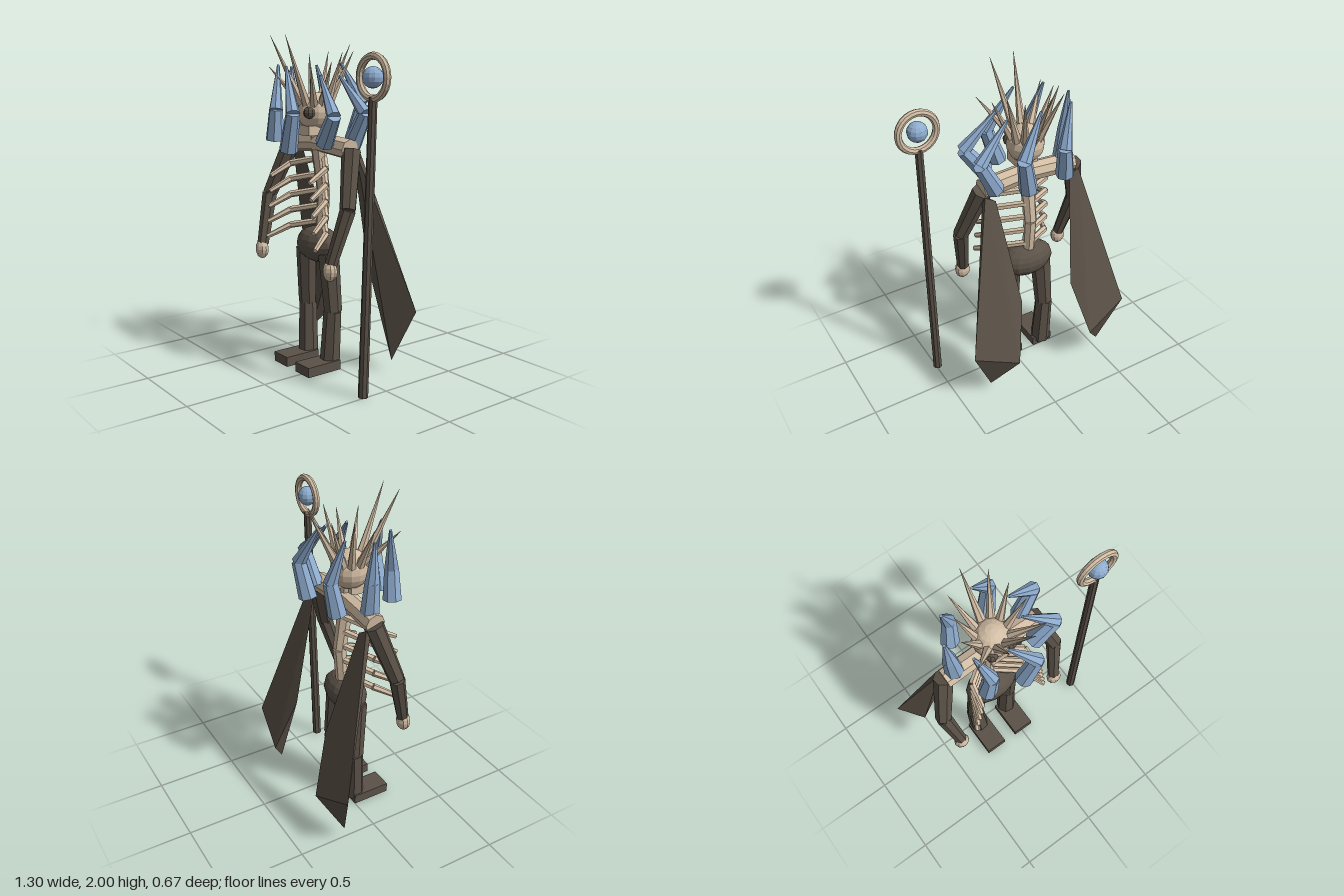
import * as THREE from 'three';
import { ConvexGeometry } from 'three/addons/geometries/ConvexGeometry.js';

const CX = -0.105; // mirror plane of the body
const V = (p) => new THREE.Vector3(...p);
const mat = (name, color) => {
  const m = new THREE.MeshStandardMaterial({ color, flatShading: true });
  m.name = name;
  return m;
};

export function createModel() {
  const bone = mat('bone', 0xd2bda4);
  const dark = mat('dark cloth', 0x5b5248);
  const blue = mat('pale blue crystal', 0x8fadd0);
  const model = new THREE.Group();
  model.name = 'skeletonMage';

  const add = (name, geo, material, parent = model) => {
    const mesh = new THREE.Mesh(geo, material);
    mesh.name = name;
    parent.add(mesh);
    return mesh;
  };
  const group = (name) => {
    const g = new THREE.Group();
    g.name = name;
    model.add(g);
    return g;
  };
  // tapered faceted bar between two points
  const bar = (name, a, b, ra, rb, material, parent = model, sides = 7) => {
    const p = V(a), q = V(b), d = q.clone().sub(p);
    const m = add(name, new THREE.CylinderGeometry(rb, ra, d.length(), sides), material, parent);
    m.position.copy(p).add(q).multiplyScalar(0.5);
    m.quaternion.setFromUnitVectors(new THREE.Vector3(0, 1, 0), d.normalize());
  };
  // chain of bars through points with one radius per point
  const chain = (name, pts, radii, material, sides = 7) => {
    const g = group(name);
    for (let i = 0; i < pts.length - 1; i++)
      bar(name + 'Segment', pts[i], pts[i + 1], radii[i], radii[i + 1], material, g, sides);
  };
  const ball = (name, c, r, material, w = 12, h = 8) => {
    const m = add(name, new THREE.SphereGeometry(1, w, h), material);
    m.position.set(...c);
    m.scale.set(...r);
  };
  const box = (name, c, s, material) => {
    add(name, new THREE.BoxGeometry(...s), material).position.set(...c);
  };

  // Torso
  ball('pelvis', [CX, 0.757, 0.03], [0.175, 0.11, 0.11], dark, 14, 10);
  chain('spine', [[CX, 0.8, 0.01], [CX, 1.06, -0.01], [CX, 1.34, 0.03]], [0.037, 0.04, 0.045], bone);
  bar('neck', [CX, 1.34, 0.03], [CX, 1.5, 0.05], 0.045, 0.04, bone);

  for (const s of [-1, 1]) {
    const side = s > 0 ? 'left' : 'right';
    const at = (dx, y, z) => [CX + s * dx, y, z];

    // Collarbone
    bar(side + 'Collarbone', at(0, 1.38, 0.03), at(0.305, 1.357, 0.03), 0.058, 0.06, bone, model, 8);

    // Ribs, widening toward the bottom
    for (let i = 0; i < 5; i++) {
      const y = 1.28 - i * 0.096;
      chain(side + 'Rib', [at(0.02, y, 0), at(0.18, y - 0.04, 0.11), at(0.2 + i * 0.013, y - 0.11, 0.24)],
        [0.02, 0.021, 0.015], bone, 6);
    }

    // Arm and hand
    chain(side + 'Arm', [at(0.305, 1.35, 0.02), at(0.4, 1.03, 0.12), at(0.355, 0.72, 0.205)],
      [0.058, 0.047, 0.036], dark);
    ball(side + 'Hand', at(0.355, 0.685, 0.212), [0.048, 0.06, 0.04], bone, 10, 8);

    // Leg and foot
    chain(side + 'Leg', [at(0.11, 0.72, 0.04), at(0.13, 0.36, 0.02), at(0.115, 0.03, 0.03)],
      [0.066, 0.056, 0.064], dark);
    box(side + 'Foot', at(0.114, 0.03, 0.12), [0.138, 0.06, 0.24], dark);

    // Cape panel: flat at the back, ridged in front from shoulder to tip
    add(side + 'CapePanel', new ConvexGeometry([
      at(0.315, 1.34, -0.005), at(0.315, 1.34, -0.035), at(0.25, 1.3, -0.04), at(0.175, 0.64, -0.21),
      at(0.262, 0.275, -0.33), at(0.405, 0.075, -0.215), at(0.545, 0.4, -0.28),
    ].map(V)), dark);

    // Eye
    ball(side + 'Eye', at(0.06, 1.557, 0.138), [0.035, 0.035, 0.035], dark, 8, 6);
  }

  // Head
  ball('skull', [CX, 1.56, 0.052], [0.112, 0.115, 0.11], bone, 14, 10);
  box('jaw', [CX, 1.452, 0.085], [0.13, 0.058, 0.12], bone);

  // Crown: spikes fanned around the skull, from back to front
  const crown = group('crown');
  const reach = [[0.26, 1.95], [0.225, 1.91], [0.18, 1.9], [0.2, 1.85], [0.28, 1.82], [0.27, 1.995]];
  for (let k = -5; k <= 5; k++) {
    const a = (k * 2 * Math.PI) / 11, [r, y] = reach[Math.abs(k)];
    const on = (rad, h) => [CX + Math.sin(a) * rad, h, 0.052 - Math.cos(a) * rad];
    bar('crownSpike', on(0.08, 1.6), on(r, y), 0.028, 0.001, bone, crown, 6);
  }

  // Bent crystals ringed around the shoulders: base, bend, tip
  const crystals = [
    [[-0.345, 1.4, 0.035], [-0.36, 1.59, 0.035], [-0.375, 1.82, 0.035]],
    [[-0.265, 1.39, 0.235], [-0.24, 1.57, 0.24], [-0.3, 1.83, 0.18]],
    [[-0.055, 1.345, 0.28], [0.015, 1.56, 0.295], [-0.135, 1.82, 0.235]],
    [[0.11, 1.39, 0.145], [0.23, 1.55, 0.17], [0.04, 1.77, 0.12]],
    [[0.14, 1.37, -0.03], [0.24, 1.56, -0.045], [0.05, 1.77, -0.01]],
    [[0, 1.39, -0.155], [0.045, 1.6, -0.185], [-0.09, 1.84, -0.13]],
    [[-0.265, 1.39, -0.12], [-0.24, 1.58, -0.15], [-0.3, 1.83, -0.1]],
  ];
  for (const pts of crystals) chain('crystal', pts, [0.055, 0.042, 0.008], blue);

  // Staff
  bar('staffShaft', [0.49, 0.003, 0.163], [0.515, 1.665, 0.13], 0.029, 0.024, dark, model, 8);
  add('staffRing', new THREE.TorusGeometry(0.111, 0.021, 8, 24), bone).position.set(0.515, 1.767, 0.13);
  ball('staffOrb', [0.515, 1.767, 0.132], [0.058, 0.058, 0.058], blue, 12, 8);

  return model;
}
